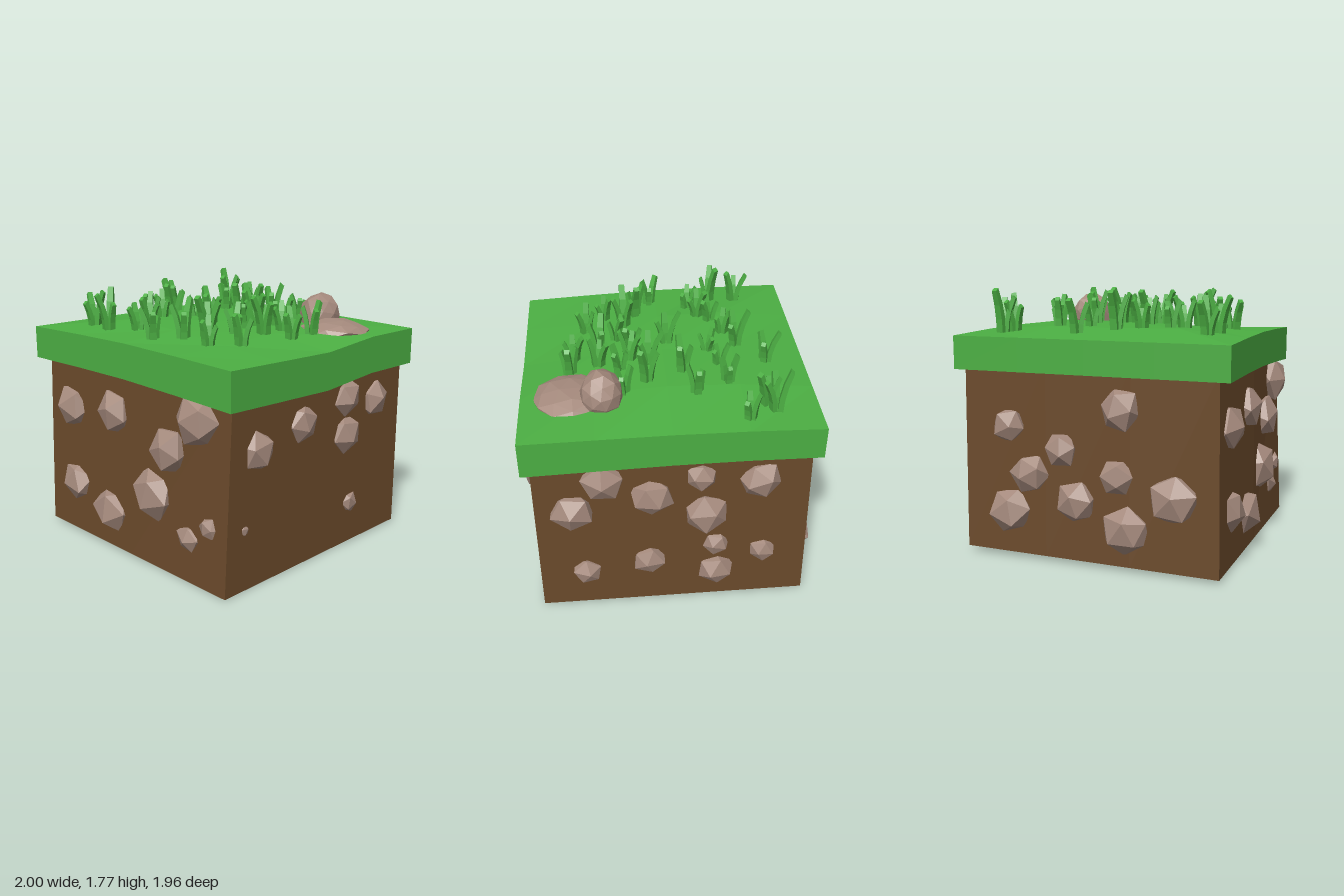
import * as THREE from 'three';
import { mergeVertices } from 'three/addons/utils/BufferGeometryUtils.js';

const material = (color, side = THREE.FrontSide) =>
  new THREE.MeshStandardMaterial({ color, flatShading: true, side });
const grassMat = material(0x4caf43);
const dirtMat = material(0x6b4a2b);
const stoneMat = material(0xa58a7d);

// Small seeded generator for the irregular shapes
let seed = 7;
function rnd(a = 0, b = 1) {
  seed = (seed * 16807) % 2147483647;
  return a + (b - a) * (seed / 2147483647);
}

// Move every vertex of a geometry by a rule
function warp(geometry, rule) {
  const p = geometry.attributes.position, v = new THREE.Vector3();
  for (let i = 0; i < p.count; i++) {
    rule(v.fromBufferAttribute(p, i));
    p.setXYZ(i, v.x, v.y, v.z);
  }
  geometry.computeVertexNormals();
  return geometry;
}

function addMesh(parent, name, geometry, mat) {
  const mesh = new THREE.Mesh(geometry, mat);
  mesh.name = name;
  parent.add(mesh);
  return mesh;
}

// Heights of the turf, rows from back to front, columns from -x to +x
const turfHeights = [
  [1.47, 1.48, 1.48, 1.47, 1.46],
  [1.47, 1.51, 1.52, 1.49, 1.46],
  [1.47, 1.51, 1.51, 1.48, 1.42],
  [1.47, 1.52, 1.50, 1.46, 1.43],
  [1.47, 1.475, 1.475, 1.46, 1.44],
];
function turfY(x, z) {
  const u = THREE.MathUtils.clamp((x + 0.91) / 1.89, 0, 0.999) * 4;
  const w = THREE.MathUtils.clamp((z + 0.93) / 1.86, 0, 0.999) * 4;
  const i = Math.floor(u), j = Math.floor(w), h = turfHeights;
  const row = (r) => THREE.MathUtils.lerp(h[r][i], h[r][i + 1], u - i);
  return THREE.MathUtils.lerp(row(j), row(j + 1), w - j);
}

// Dented faceted stone of unit radius
function stoneGeometry(detail, dent) {
  let g = new THREE.IcosahedronGeometry(1, detail);
  g.deleteAttribute('normal');
  g.deleteAttribute('uv');
  g = mergeVertices(g, 1e-3);
  const turn = new THREE.Euler(rnd(0, 6), rnd(0, 6), rnd(0, 6));
  return warp(g, (v) => v.multiplyScalar(rnd(1 - dent, 1 + dent)).applyEuler(turn));
}

// Stones on each side: [across, y, radius], in the side's own direction
const sides = [
  { name: 'frontStones', angle: 0, depth: 0.85, stones: [
    [-0.61, 0.93, 0.16], [-0.13, 0.98, 0.15], [0.65, 1.08, 0.17], [0.40, 0.83, 0.16], [0.24, 0.50, 0.18],
    [-0.58, 0.38, 0.16], [-0.19, 0.26, 0.17], [0.58, 0.29, 0.10], [0.76, 0.41, 0.08]] },
  { name: 'rightStones', angle: Math.PI / 2, depth: 0.91, stones: [
    [-0.59, 0.89, 0.13], [-0.18, 0.98, 0.13], [0.27, 1.07, 0.13], [0.27, 0.81, 0.14], [0.58, 1.0, 0.13],
    [-0.71, 0.40, 0.045], [0.34, 0.30, 0.08], [0.65, 0.53, 0.02]] },
  { name: 'backStones', angle: Math.PI, depth: 0.87, stones: [
    [-0.48, 1.10, 0.15], [-0.68, 0.86, 0.15], [-0.17, 0.96, 0.15], [0.15, 1.10, 0.11], [0.53, 1.05, 0.15],
    [0.19, 0.79, 0.16], [-0.61, 0.31, 0.11], [-0.19, 0.39, 0.12], [0.26, 0.51, 0.10],
    [0.27, 0.27, 0.13], [0.58, 0.43, 0.10]] },
  { name: 'leftStones', angle: -Math.PI / 2, depth: 0.87, stones: [
    [-0.55, 0.89, 0.12], [-0.18, 0.76, 0.12], [0.20, 0.61, 0.12], [0.23, 1.04, 0.14], [0.58, 0.50, 0.17],
    [-0.40, 0.58, 0.14], [-0.07, 0.42, 0.15], [0.27, 0.27, 0.17], [-0.55, 0.32, 0.16]] },
];

// Grass tufts: [x, z, height]
const tufts = [
  [-0.45, -0.79, 0.18], [-0.63, -0.71, 0.28], [-0.58, -0.65, 0.24], [-0.15, -0.52, 0.20], [-0.36, -0.42, 0.19],
  [-0.33, -0.20, 0.15], [-0.08, -0.27, 0.23], [-0.65, -0.16, 0.22], [-0.27, -0.02, 0.15], [-0.47, 0.04, 0.25],
  [-0.40, 0.20, 0.19], [0, 0.10, 0.24], [0.16, -0.36, 0.24], [0.32, -0.48, 0.18], [0.14, -0.16, 0.25],
  [0.26, -0.08, 0.22], [0.33, -0.20, 0.17], [0.47, -0.12, 0.22], [0.46, 0.05, 0.25], [0.25, 0.03, 0.20],
  [0.64, -0.02, 0.20], [0.66, -0.20, 0.22], [0.34, 0.20, 0.20], [0.55, 0.36, 0.20], [0.28, 0.40, 0.27],
  [0.20, 0.54, 0.25], [0.42, 0.53, 0.18], [0.08, 0.70, 0.20], [-0.19, 0.60, 0.17], [-0.25, 0.45, 0.21],
  [-0.33, 0.37, 0.19], [-0.55, 0.69, 0.24], [-0.36, 0.71, 0.27],
];

// Bent blade that leans towards local +z
function bladeGeometry(height) {
  const g = new THREE.BoxGeometry(1, 1, 1, 1, 3, 1);
  const width = 0.03 + height * 0.08, lean = height * rnd(0.16, 0.28);
  return warp(g, (v) => {
    const t = v.y + 0.5, taper = 1 - 0.3 * t * t;
    v.set(v.x * width * taper, t * height - v.z * 0.02 * t, v.z * width * 0.65 * taper + lean * t * t);
  });
}

export function createModel() {
  const model = new THREE.Group();
  model.name = 'grassBlock';

  // Soil: slightly uneven block
  const soil = new THREE.BoxGeometry(1.8, 1, 1.76, 2, 1, 3);
  addMesh(model, 'soil', warp(soil, (v) => {
    const bottom = v.y < 0, right = v.x > 0.5;
    v.x += 0.025;
    if (v.x < -0.5) v.x += bottom ? -0.005 : 0.025;
    if (v.z > 0.8) v.z += bottom ? 0.005 : right ? -0.06 : -0.02;
    v.y = bottom ? 0.018 - 0.013 * v.x - 0.008 * v.z : 1.3;
  }), dirtMat);

  // Turf: wavy slab overhanging the soil
  const turf = new THREE.BoxGeometry(1.89, 1, 1.86, 4, 1, 4);
  addMesh(model, 'turf', warp(turf, (v) => {
    v.x += 0.035;
    const top = turfY(v.x, v.z);
    v.y = v.y > 0 ? top : top - 0.235 - 0.015 * v.x;
    if (v.z > 0.8) v.z += -0.012 - 0.026 * v.x;
  }), grassMat);

  // Stones set into the four sides
  for (const { name, angle, depth, stones } of sides) {
    const side = new THREE.Group();
    side.name = name;
    side.rotation.y = angle;
    model.add(side);
    for (const [x, y, r] of stones) {
      const stone = addMesh(side, 'stone', stoneGeometry(0, 0.1), stoneMat);
      stone.position.set(x, y, depth);
      stone.scale.set(r, r, r * 0.72);
    }
  }

  // Two stones lying on the turf
  const flat = addMesh(model, 'flatStone', stoneGeometry(1, 0.06), stoneMat);
  flat.position.set(0.65, 1.46, -0.46);
  flat.scale.set(0.24, 0.08, 0.24);
  const round = addMesh(model, 'roundStone', stoneGeometry(1, 0.05), stoneMat);
  round.position.set(0.46, 1.54, -0.54);
  round.scale.set(0.14, 0.155, 0.155);

  // Tufts of three blades leaning outwards
  for (const [x, z, height] of tufts) {
    const tuft = new THREE.Group();
    tuft.name = 'grassTuft';
    tuft.position.set(x, turfY(x, z) - 0.015, z);
    tuft.rotation.y = rnd(0, 6.28);
    model.add(tuft);
    for (let i = 0; i < 3; i++) {
      const blade = addMesh(tuft, 'blade', bladeGeometry(height * (1.05 - i * rnd(0.1, 0.18))), grassMat);
      const a = (i * Math.PI * 2) / 3 + rnd(-0.3, 0.3);
      blade.rotation.y = a;
      blade.position.set(Math.sin(a) * 0.024, 0, Math.cos(a) * 0.024);
    }
  }
  return model;
}
